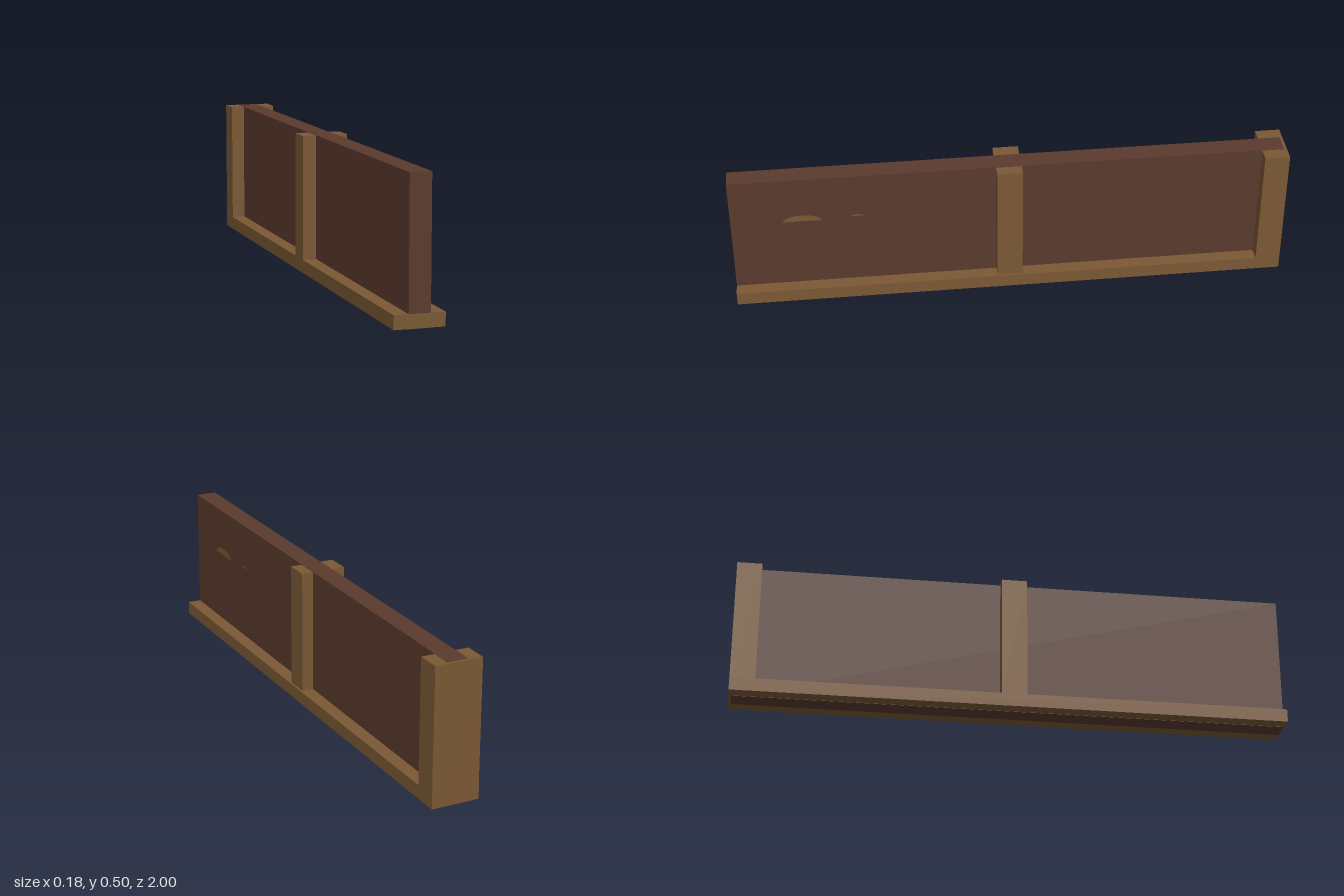
import * as THREE from 'three';

export function createModel() {
  const group = new THREE.Group();
  const wood = new THREE.MeshStandardMaterial({ color: 0x7a5834 });
  wood.name = 'light wood';
  const board = new THREE.MeshStandardMaterial({ color: 0x5a3a2e });
  board.name = 'dark board';

  // box given by its minimum and maximum corners
  function box(name, material, [x0, y0, z0], [x1, y1, z1]) {
    const mesh = new THREE.Mesh(new THREE.BoxGeometry(x1 - x0, y1 - y0, z1 - z0), material);
    mesh.position.set((x0 + x1) / 2, (y0 + y1) / 2, (z0 + z1) / 2);
    mesh.name = name;
    group.add(mesh);
  }

  // long upright board, a hair proud of the frame at top and bottom
  box('panel', board, [-0.0375, 0, -0.99], [0.0375, 0.501, 0.999]);

  // frame: base rail, end post and middle post
  box('baseRail', wood, [-0.088, 0.001, -1], [0.0875, 0.049, 1]);
  box('endPost', wood, [-0.087, 0.001, -1], [0.0875, 0.5, -0.91]);
  box('middlePost', wood, [-0.087, 0.045, -0.042], [0.08, 0.5, 0.05]);

  // small flat-bottomed wood patches showing on the +x face of the board
  function patch(z, y, halfWidth, height) {
    const shape = new THREE.Shape();
    shape.moveTo(-halfWidth, 0);
    shape.lineTo(halfWidth, 0);
    shape.bezierCurveTo(halfWidth * 0.8, height * 1.33, -halfWidth * 0.8, height * 1.33, -halfWidth, 0);
    const mesh = new THREE.Mesh(new THREE.ShapeGeometry(shape, 8), wood);
    mesh.rotation.y = Math.PI / 2;
    mesh.position.set(0.0385, y, z);
    mesh.name = 'woodPatch';
    group.add(mesh);
  }
  patch(0.745, 0.322, 0.07, 0.026);
  patch(0.547, 0.33, 0.024, 0.007);

  return group;
}
